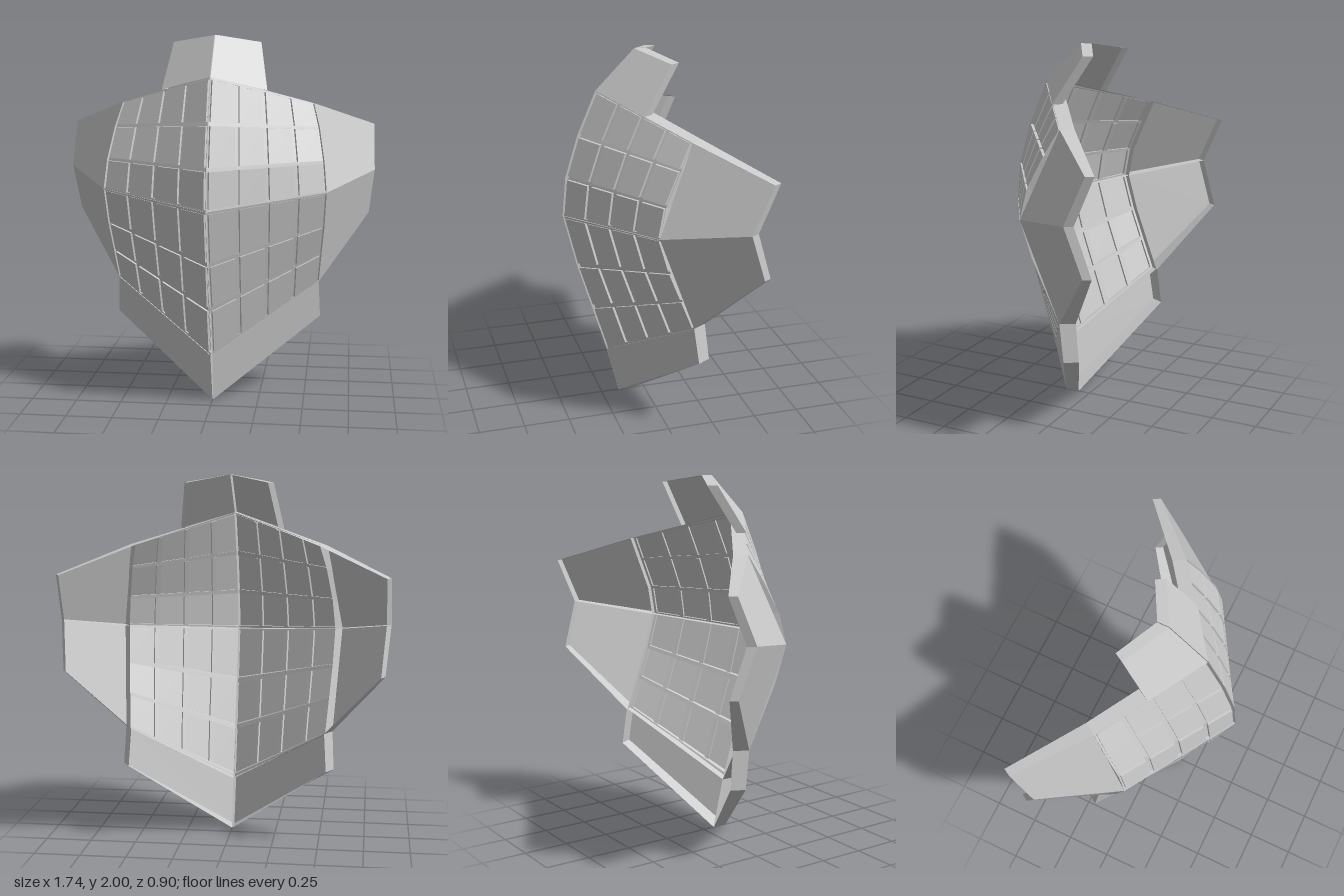
import * as THREE from 'three';

const material = new THREE.MeshStandardMaterial({ color: 0xcccccc, side: THREE.DoubleSide });
const SEAM = 0.002;

// Push a front-surface point back into the shell, stopping at the centre seam
function inset([x, y, z], t) {
  const nx = x - 0.5 * t;
  const cut = Math.max(0, SEAM - nx);
  return [nx + cut, y, z - 0.86 * t - 0.59 * cut];
}

// Closed slab: four front corners (counter-clockwise) with near and far depths
function slab(corners, near, far) {
  const f = corners.map((c) => inset(c, near));
  const b = corners.map((c) => inset(c, far));
  const quads = [f, [...b].reverse()];
  for (let i = 0; i < 4; i++) {
    const j = (i + 1) % 4;
    quads.push([f[i], b[i], b[j], f[j]]);
  }
  return quads;
}

// Rim walls running back from a polyline of front points
function rim(points, depths) {
  const depth = (i) => (Array.isArray(depths) ? depths[i] : depths);
  return points.slice(1).map((p, i) => {
    const q = points[i];
    return [q, inset(q, depth(i)), inset(p, depth(i + 1)), p];
  });
}

// One mesh from quads, each with a single face normal, mirrored for the right half
function addMesh(group, name, quads, side) {
  const positions = [];
  const normals = [];
  for (const quad of quads) {
    const v = quad.map(([x, y, z]) => new THREE.Vector3(x * side, y, z));
    if (side < 0) v.reverse();
    const [a, b, c, d] = v;
    const n = c.clone().sub(a).cross(d.clone().sub(b)).normalize();
    for (const p of [a, b, c, a, c, d]) {
      positions.push(p.x, p.y, p.z);
      normals.push(n.x, n.y, n.z);
    }
  }
  const geometry = new THREE.BufferGeometry();
  geometry.setAttribute('position', new THREE.Float32BufferAttribute(positions, 3));
  geometry.setAttribute('normal', new THREE.Float32BufferAttribute(normals, 3));
  const mesh = new THREE.Mesh(geometry, material);
  mesh.name = name;
  group.add(mesh);
}

// Tiled section between a centre profile and an outer profile (top to bottom)
function addTiledSection(group, name, inner, outer, side) {
  const rows = inner.length - 1;
  const cols = 4;
  const mix = (a, b, s) => a.map((n, i) => n + (b[i] - n) * s);
  const at = (u, v) => {
    v = Math.min(Math.max(v, 0), rows);
    u = Math.min(Math.max(u / cols, 0), 1);
    const k = Math.min(Math.floor(v), rows - 1);
    return mix(mix(inner[k], inner[k + 1], v - k), mix(outer[k], outer[k + 1], v - k), u);
  };
  const patch = (u0, u1, v0, v1) => [at(u0, v1), at(u1, v1), at(u1, v0), at(u0, v0)];
  const gu = 0.075;
  const gv = 0.05;
  const tiles = [];
  const frame = [];
  for (let r = 0; r < rows; r++) {
    for (let c = 0; c < cols; c++) {
      tiles.push(...slab(patch(c + gu, c + 1 - gu, r + gv, r + 1 - gv), 0, 0.025));
    }
    for (let c = 0; c <= cols; c++) {
      frame.push(...slab(patch(c - gu, c + gu, r + gv, r + 1 - gv), 0.015, 0.04));
    }
  }
  for (let r = 0; r <= rows; r++) {
    const near = r % rows === 0 ? 0.005 : 0.015;
    frame.push(...slab(patch(0, cols, r - gv, r + gv), near, 0.04));
  }
  addMesh(group, name + 'Tiles', tiles, side);
  addMesh(group, name + 'Frame', frame, side);
}

function createHalf(side) {
  const half = new THREE.Group();
  half.name = side > 0 ? 'leftHalf' : 'rightHalf';

  // Shared corners of the shell
  const crown = [SEAM, 1.79, 0.26];
  const temple = [0.53, 1.63, -0.1];
  const bridge = [SEAM, 1.11, 0.453];
  const cheek = [0.61, 1.165, 0.09];
  const chinTop = [0.005, 0.275, 0.217];
  const jaw = [0.57, 0.625, -0.112];
  const wingMiddle = [0.872, 1.24, -0.298];
  const wingTop = [0.866, 1.49, -0.41];
  const wingLow = [0.845, 0.98, -0.385];
  const chinSide = [0.58, 0.42, -0.14];
  const chinTip = [SEAM, 0, 0.15];
  const crestSide = [0.24, 1.96, -0.08];
  const crestTop = [SEAM, 2, 0.05];
  const crestBase = [0.285, 1.71, 0.075];

  // Tiled sections with their rims
  const upperInner = [crown, [SEAM, 1.555, 0.362], [SEAM, 1.325, 0.433], bridge];
  const upperOuter = [temple, [0.565, 1.5, -0.03], [0.595, 1.325, 0.055], cheek];
  const lowerInner = [bridge, [SEAM, 0.81, 0.38], [0.005, 0.55, 0.3], chinTop];
  const lowerOuter = [cheek, [0.6, 0.97, 0.03], [0.585, 0.8, -0.04], jaw];
  addTiledSection(half, 'upperFace', upperInner, upperOuter, side);
  addTiledSection(half, 'lowerFace', lowerInner, lowerOuter, side);
  addMesh(half, 'upperFaceRim', rim([...upperInner, ...[...upperOuter].reverse(), crown], 0.075), side);
  addMesh(half, 'lowerFaceRim', rim([...lowerInner, ...[...lowerOuter].reverse()], 0.075), side);

  // Forehead crest, open at the back
  addMesh(half, 'foreheadPlate', [
    [crown, crestBase, crestSide, crestTop],
    ...rim([crestBase, crestSide, crestTop, crown], 0.055)], side);

  // Side wings, shallower towards the tips
  addMesh(half, 'upperWing', [
    [cheek, wingMiddle, wingTop, temple],
    ...rim([cheek, wingMiddle, wingTop, temple], [0.075, 0.05, 0.045, 0.075])], side);
  addMesh(half, 'lowerWing', [
    [jaw, wingLow, wingMiddle, cheek],
    ...rim([jaw, wingLow, wingMiddle], [0.085, 0.045, 0.05])], side);

  // Chin guard
  addMesh(half, 'chinPlate', [
    [chinTip, chinSide, jaw, chinTop],
    ...rim([jaw, chinSide, chinTip, chinTop], [0.085, 0.08, 0.07, 0.075])], side);

  return half;
}

export function createModel() {
  const model = new THREE.Group();
  model.name = 'facePlate';
  for (const side of [1, -1]) model.add(createHalf(side));
  return model;
}
